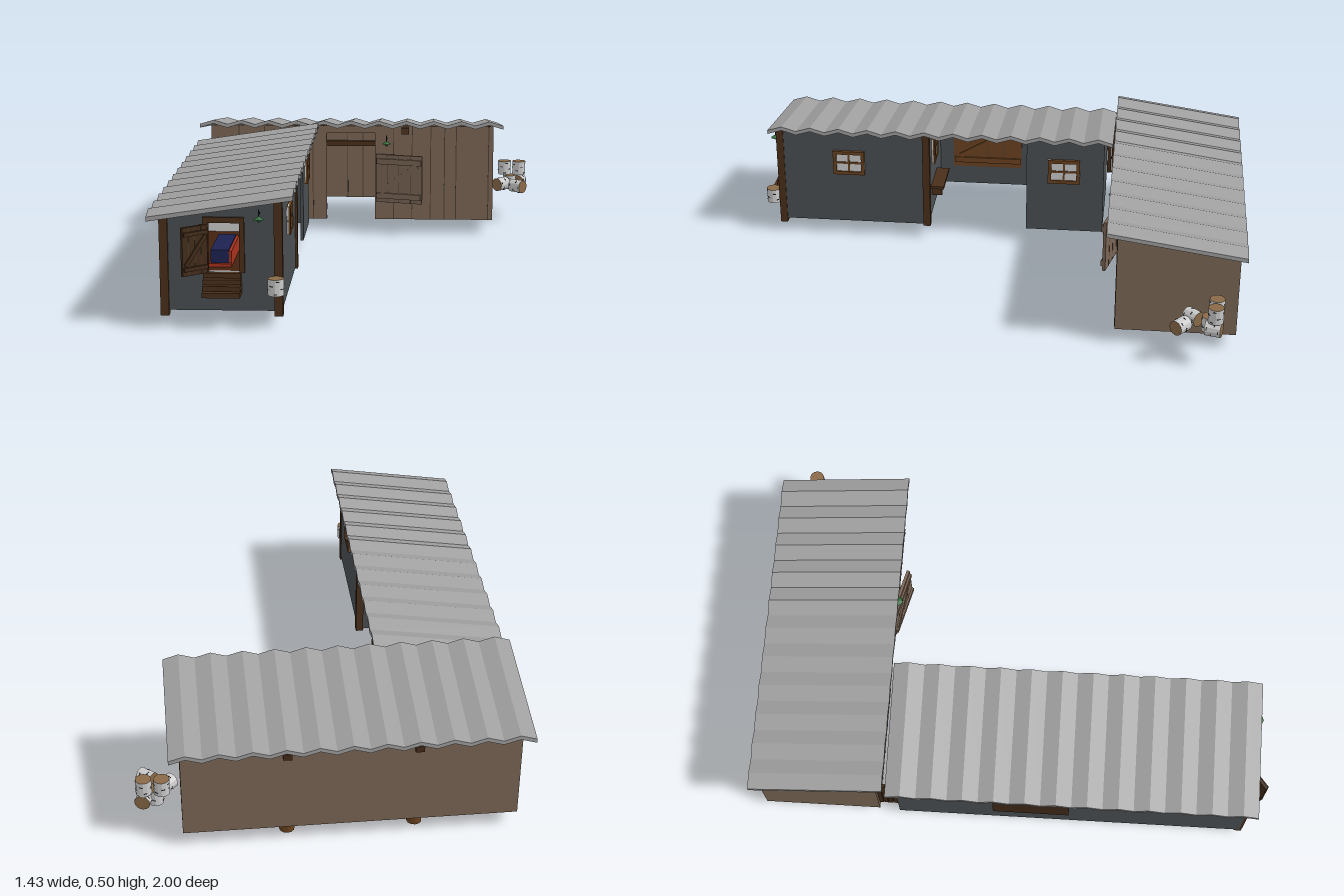
import * as THREE from 'three';

const material = (color) => new THREE.MeshStandardMaterial({ color, flatShading: true });
const M = {
  slate: material(0x4a4f52), plank: material(0x7a6654), groove: material(0x4e4034), roof: material(0x9f9f9f),
  beam: material(0x4a2f1a), post: material(0x68421f), door: material(0x6a421f), darkDoor: material(0x402a18),
  floor: material(0x42200f), light: material(0xcccccc), birch: material(0xd8d8d4), black: material(0x222222),
  logEnd: material(0x8a6a48), green: material(0x2f6b3a), blue: material(0x1c2250), red: material(0xa8321c),
};

function add(parent, name, geometry, mat, x = 0, y = 0, z = 0) {
  const mesh = new THREE.Mesh(geometry, mat);
  mesh.name = name;
  mesh.position.set(x, y, z);
  parent.add(mesh);
  return mesh;
}

// Box given by its limits on each axis
function box(parent, name, mat, x0, x1, y0, y1, z0, z1) {
  const g = new THREE.BoxGeometry(x1 - x0, y1 - y0, z1 - z0);
  return add(parent, name, g, mat, (x0 + x1) / 2, (y0 + y1) / 2, (z0 + z1) / 2);
}

function group(parent, name, x, y, z, turn = 0) {
  const g = new THREE.Group();
  g.name = name;
  g.position.set(x, y, z);
  g.rotation.y = turn;
  parent.add(g);
  return g;
}

// Upright wall from an outline, centred on its thickness
function wall(parent, name, mat, outline, thick = 0.012) {
  const shape = new THREE.Shape(outline.map(([u, v]) => new THREE.Vector2(u, v)));
  const g = new THREE.ExtrudeGeometry(shape, { depth: thick, bevelEnabled: false });
  g.translate(0, 0, -thick / 2);
  return add(parent, name, g, mat);
}

// Zigzag sheet of the given length, sloping up along its depth
function roofSheet(length, depth, waves) {
  const top = [], low = [];
  for (let i = 0; i <= waves * 2; i++) {
    const u = (i / (waves * 2)) * length;
    const v = i % 2 ? 0.009 : -0.009;
    top.push(new THREE.Vector2(u, v + 0.008));
    low.unshift(new THREE.Vector2(u, v - 0.008));
  }
  const g = new THREE.ExtrudeGeometry(new THREE.Shape([...low, ...top]), { depth, bevelEnabled: false });
  const p = g.attributes.position;
  for (let i = 0; i < p.count; i++) p.setY(i, p.getY(i) + 0.406 + 0.078 * p.getZ(i) / depth);
  g.computeVertexNormals();
  return g;
}

// Plank door starting at its left edge, with a Z brace on the front
function bracedDoor(parent, name, mat, w, h, x, y, z, turn) {
  const d = group(parent, name, x, y, z, turn);
  box(d, 'doorPlanks', mat, 0, w, 0, h, -0.006, 0.006);
  for (let i = 1; i < 4; i++) box(d, 'plankGap', M.groove, w * i / 4 - 0.001, w * i / 4 + 0.001, 0, h, -0.007, 0.007);
  const rail = Math.min(0.024, w * 0.14);
  for (const f of [0.14, 0.86]) box(d, 'rail', mat, 0.004, w - 0.004, h * f - rail / 2, h * f + rail / 2, 0.006, 0.014);
  const rise = h * 0.58, run = w * 0.8;
  const brace = add(d, 'brace', new THREE.BoxGeometry(Math.hypot(rise, run), rail, 0.007), mat, w / 2, h / 2, 0.009);
  brace.rotation.z = Math.atan2(rise, run);
}

// Four-pane window facing +z
function paneWindow(parent, w, h, x, y, z, turn) {
  const g = group(parent, 'window', x, y, z, turn);
  box(g, 'pane', M.light, -w / 2, w / 2, -h / 2, h / 2, -0.007, 0.008);
  for (const s of [-1, 1]) {
    add(g, 'frameSide', new THREE.BoxGeometry(0.014, h, 0.03), M.post, s * (w / 2 - 0.007), 0, 0);
    add(g, 'frameRail', new THREE.BoxGeometry(w, 0.014, 0.03), M.post, 0, s * (h / 2 - 0.007), 0);
  }
  box(g, 'mullion', M.post, -0.004, 0.004, -h / 2, h / 2, -0.011, 0.012);
  box(g, 'crossbar', M.post, -w / 2, w / 2, -0.004, 0.004, -0.011, 0.012);
}

// Birch log with brown ends and dark bark flecks
function birchLog(parent, x, y, z, lying, turn = 0) {
  const g = group(parent, 'birchLog', x, y, z, turn);
  if (lying) g.rotation.z = Math.PI / 2;
  const r = 0.029, l = 0.06;
  add(g, 'bark', new THREE.CylinderGeometry(r, r, l, 12), [M.birch, M.logEnd, M.logEnd]);
  for (let i = 0; i < 9; i++) {
    const a = i * 2.4;
    const fleck = add(g, 'barkFleck', new THREE.BoxGeometry(0.012, 0.003, 0.002), M.black,
      Math.sin(a) * r * 0.98, -0.022 + i * 0.0055, Math.cos(a) * r * 0.98);
    fleck.rotation.y = a;
  }
}

function lantern(parent, x, y, z) {
  const g = group(parent, 'lantern', x, y, z);
  add(g, 'lampShade', new THREE.ConeGeometry(0.02, 0.012, 8), M.green, 0, 0, 0);
  add(g, 'lampBulb', new THREE.SphereGeometry(0.007, 8, 6), M.green, 0, -0.01, 0);
  add(g, 'lampStem', new THREE.CylinderGeometry(0.002, 0.002, 0.03, 6), M.black, 0, 0.015, 0);
  box(g, 'lampArm', M.black, -0.002, 0.002, 0.01, 0.014, -0.03, 0);
}

function buildBarn(root) {
  const b = group(root, 'barn', 0, 0, 0);
  add(b, 'barnRoof', roofSheet(1.305, 0.52, 11), M.roof, -0.715, 0, -1);

  // Front wall with a doorway open to the bottom edge
  const front = wall(b, 'frontWall', M.plank, [[-0.67, 0.06], [-0.17, 0.06], [-0.17, 0.44], [0.04, 0.44],
    [0.04, 0.06], [0.55, 0.06], [0.55, 0.472], [-0.67, 0.472]]);
  front.position.z = -0.526;
  box(b, 'backWall', M.plank, -0.67, 0.55, 0.06, 0.405, -0.976, -0.964);
  for (const x of [-0.664, 0.544]) {
    const end = wall(b, 'endWall', M.plank, [[-0.97, 0.06], [-0.52, 0.06], [-0.52, 0.472], [-0.97, 0.402]]);
    end.rotation.y = -Math.PI / 2;
    end.position.x = x;
  }
  for (const x of [-0.55, -0.44, -0.33, -0.23, 0.12, 0.2, 0.28, 0.34, 0.39, 0.53])
    box(b, 'plankGap', M.groove, x - 0.002, x + 0.002, 0.06, 0.47, -0.521, -0.518);
  for (const x of [-0.1, -0.03])
    box(b, 'plankGap', M.groove, x - 0.002, x + 0.002, 0.06, 0.4, -0.964, -0.962);

  // Inner rails, posts and rafters
  box(b, 'backRail', M.beam, -0.66, 0.54, 0.303, 0.326, -0.964, -0.945);
  box(b, 'frontRail', M.beam, -0.66, -0.17, 0.1, 0.122, -0.55, -0.532);
  for (const x of [-0.3, 0.17]) {
    add(b, 'backPost', new THREE.CylinderGeometry(0.028, 0.028, 0.39, 12), M.post, x, 0.195, -0.912);
    add(b, 'frontPost', new THREE.CylinderGeometry(0.028, 0.028, 0.39, 12), M.post, x, 0.255, -0.562);
    const rafter = add(b, 'rafter', new THREE.BoxGeometry(0.032, 0.028, 0.5), M.beam, x, 0.418, -0.74);
    rafter.rotation.x = -Math.atan(0.078 / 0.52);
  }

  bracedDoor(b, 'barnDoor', M.plank, 0.205, 0.21, 0.045, 0.14, -0.514, -0.245);
  lantern(b, 0.09, 0.405, -0.49);

  // Log pile beside the end wall
  birchLog(b, 0.617, 0.22, -0.895, false);
  birchLog(b, 0.682, 0.22, -0.89, false, 1);
  birchLog(b, 0.64, 0.16, -0.87, false, 2);
  birchLog(b, 0.682, 0.16, -0.885, true, 1.3);
  birchLog(b, 0.6, 0.16, -0.81, true, 0.8);
  birchLog(b, 0.67, 0.16, -0.765, true, -0.7);
}

function buildCabin(root) {
  const c = group(root, 'cabin', 0, 0, 0);
  const roof = add(c, 'cabinRoof', roofSheet(1.43, 0.515, 12), M.roof, -0.715, 0, 0.955);
  roof.rotation.y = Math.PI / 2;

  // Long walls, with an open porch between the two parts of the right one
  box(c, 'longWall', M.slate, -0.676, -0.664, 0.06, 0.405, -0.44, 0.92);
  box(c, 'roomSideWall', M.slate, -0.256, -0.244, 0.06, 0.47, 0.3, 0.92);
  box(c, 'porchSideWall', M.slate, -0.256, -0.244, 0.06, 0.47, -0.44, -0.12);

  // Cross walls; the front one has the doorway
  const across = [[-0.67, 0.06], [-0.25, 0.06], [-0.25, 0.466], [-0.67, 0.402]];
  for (const z of [-0.434, 0.3]) wall(c, 'crossWall', M.slate, across).position.z = z;
  const hole = new THREE.Path([[-0.505, 0.2], [-0.385, 0.2], [-0.385, 0.382], [-0.505, 0.382]]
    .map(([x, y]) => new THREE.Vector2(x, y)));
  for (const [name, mat, z] of [['frontWall', M.slate, 0.914], ['frontLining', M.light, 0.905]]) {
    const shape = new THREE.Shape(across.map(([x, y]) => new THREE.Vector2(x, y)));
    shape.holes.push(hole);
    add(c, name, new THREE.ExtrudeGeometry(shape, { depth: 0.01, bevelEnabled: false }), mat, 0, 0, z - 0.005);
  }

  // Pale lining and floor of the room
  wall(c, 'backLining', M.light, across, 0.004).position.z = 0.309;
  box(c, 'leftLining', M.light, -0.664, -0.66, 0.061, 0.4, 0.31, 0.9);
  box(c, 'rightLining', M.light, -0.26, -0.256, 0.061, 0.46, 0.31, 0.9);
  box(c, 'floor', M.floor, -0.664, -0.256, 0.185, 0.2, 0.3, 0.908);

  // Corner posts
  for (const [x, z, y0, y1] of [[-0.66, 0.915, 0.042, 0.41], [-0.255, 0.915, 0.042, 0.47], [-0.25, 0.3, 0.055, 0.472]])
    box(c, 'cornerPost', M.beam, x - 0.015, x + 0.015, y0, y1, z - 0.015, z + 0.015);

  // Front door, frame and steps
  for (const x of [-0.512, -0.383]) box(c, 'doorJamb', M.beam, x - 0.009, x + 0.009, 0.2, 0.4, 0.9, 0.93);
  box(c, 'doorLintel', M.beam, -0.521, -0.374, 0.38, 0.4, 0.9, 0.931);
  bracedDoor(c, 'frontDoor', M.darkDoor, 0.103, 0.175, -0.587, 0.2, 0.989, 0.68);
  for (let i = 0; i < 4; i++)
    box(c, 'step', M.beam, -0.52, -0.386, 0.123 + i * 0.02, 0.141 + i * 0.02, 0.92, 0.987 - i * 0.016);

  // Bed seen through the doorway
  box(c, 'bedBase', M.red, -0.51, -0.43, 0.2, 0.212, 0.6, 0.85);
  box(c, 'bedding', M.blue, -0.505, -0.44, 0.212, 0.26, 0.6, 0.84);
  box(c, 'bedEnd', M.red, -0.44, -0.43, 0.2, 0.255, 0.6, 0.84);

  // Windows
  paneWindow(c, 0.132, 0.105, -0.246, 0.333, 0.625, Math.PI / 2);
  paneWindow(c, 0.132, 0.105, -0.246, 0.333, -0.275, Math.PI / 2);
  paneWindow(c, 0.12, 0.115, -0.437, 0.335, 0.296, Math.PI);
  box(c, 'innerPane', M.light, -0.475, -0.4, 0.29, 0.378, 0.31, 0.314);

  // Wide door in the long wall
  bracedDoor(c, 'sideDoor', M.door, 0.3, 0.235, -0.668, 0.142, 0.235, Math.PI / 2);
  box(c, 'sideDoorBack', M.darkDoor, -0.679, -0.674, 0.142, 0.377, -0.065, 0.235);

  // Porch bench
  box(c, 'benchSeat', M.beam, -0.53, -0.34, 0.178, 0.19, 0.24, 0.294);
  for (const x of [-0.5, -0.37]) box(c, 'benchLeg', M.beam, x - 0.008, x + 0.008, 0.14, 0.178, 0.25, 0.294);

  // Plank screen closing the gap between the buildings
  for (let i = 0; i < 4; i++)
    box(c, 'gapPlank', M.darkDoor, -0.668, -0.656, 0.142, 0.372, -0.459 - i * 0.019, -0.442 - i * 0.019);

  lantern(c, -0.32, 0.405, 0.95);
  birchLog(c, -0.262, 0.16, 0.958, false);
}

export function createModel() {
  const root = new THREE.Group();
  root.name = 'farmBuildings';
  buildBarn(root);
  buildCabin(root);
  return root;
}
